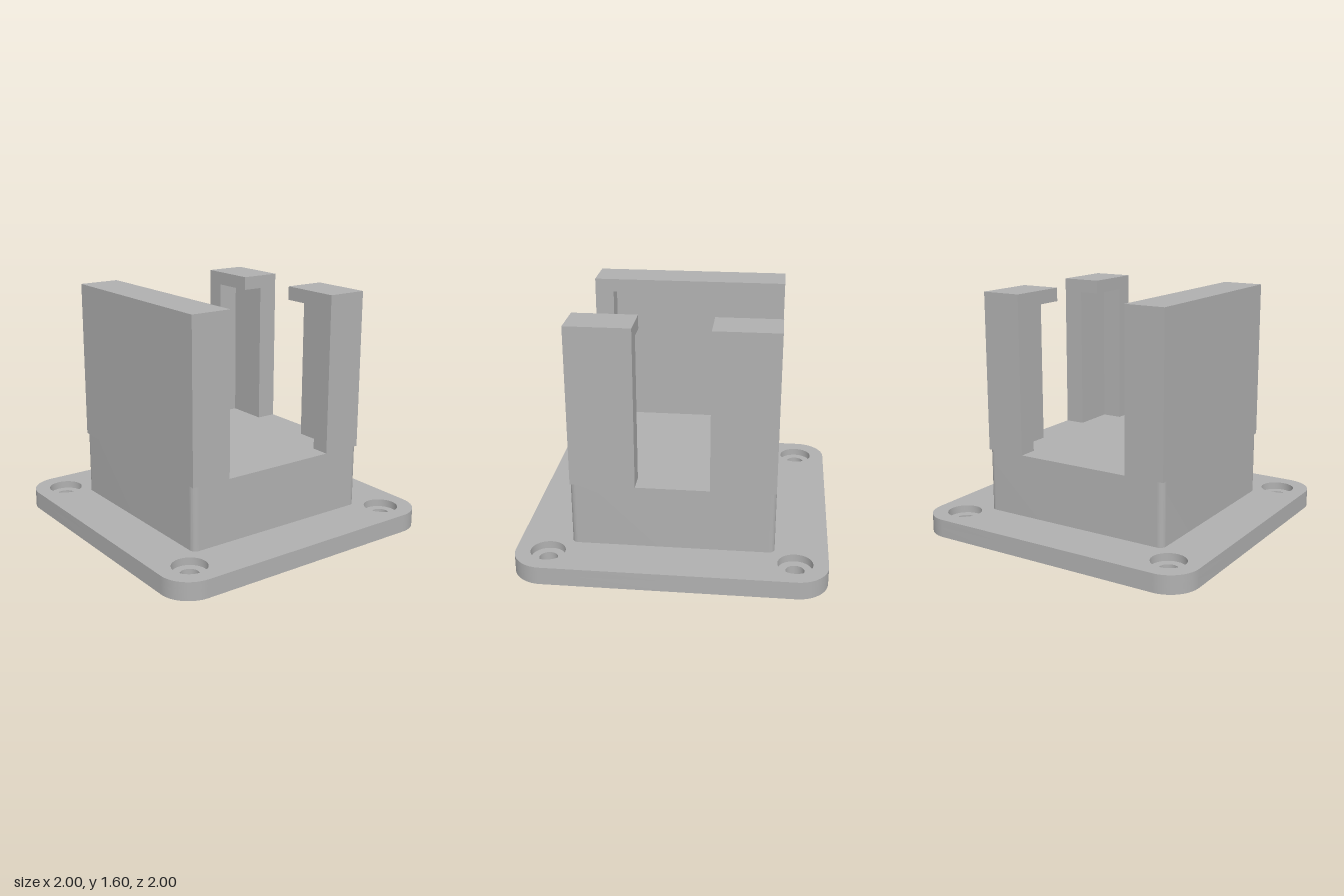
import * as THREE from 'three';
import { toCreasedNormals } from 'three/addons/utils/BufferGeometryUtils.js';

const W = 0.67, D = 0.657;        // holder half width and half depth
const SLOT = 0.397;               // half width of the open channel
const PX = 0.535, PZ = 0.53;      // pocket half width and half depth
const GAP = 0.238;                // half width of the side opening
const Y = { ledge: 0.07, plate: 0.12, floor: 0.54, lip: 1.505, top: 1.595 };

// Rectangle with rounded corners, centred on the origin
function roundedRect(w, d, r) {
  const s = new THREE.Shape();
  s.absarc(w - r, d - r, r, 0, Math.PI / 2);
  s.absarc(-w + r, d - r, r, Math.PI / 2, Math.PI);
  s.absarc(-w + r, -d + r, r, Math.PI, Math.PI * 1.5);
  s.absarc(w - r, -d + r, r, Math.PI * 1.5, Math.PI * 2);
  s.closePath();
  return s;
}

const polygon = (pts) => new THREE.Shape(pts.map(([x, z]) => new THREE.Vector2(x, z)));

export function createModel() {
  const model = new THREE.Group();
  model.name = 'holderBracket';
  const grey = new THREE.MeshStandardMaterial({ color: 0xb0b0b0 });
  grey.name = 'grey';

  // Extrude a floor plan upward from y0 to y1
  function addPrism(name, shape, y0, y1, parent = model) {
    const geo = new THREE.ExtrudeGeometry(shape, { depth: y1 - y0, bevelEnabled: false, curveSegments: 16 });
    geo.rotateX(-Math.PI / 2);
    geo.translate(0, y0, 0);
    const mesh = new THREE.Mesh(toCreasedNormals(geo, 0.5), grey);
    mesh.name = name;
    parent.add(mesh);
  }

  // Base plate in two layers: narrow screw holes below, counterbores above
  const plate = new THREE.Group();
  plate.name = 'basePlate';
  model.add(plate);
  function plateLayer(name, holeRadius, y0, y1) {
    const s = roundedRect(1, 1, 0.2);
    for (const x of [-0.79, 0.79]) for (const z of [-0.79, 0.79]) {
      const hole = new THREE.Path();
      hole.absarc(x, z, holeRadius, 0, Math.PI * 2, true);
      s.holes.push(hole);
    }
    addPrism(name, s, y0, y1, plate);
  }
  plateLayer('screwHoleLayer', 0.06, 0, Y.ledge);
  plateLayer('counterboreLayer', 0.113, Y.ledge, Y.plate);

  // Solid pedestal with softened vertical edges
  addPrism('pedestal', roundedRect(W, D, 0.04), Y.plate, Y.floor);

  // Full wall with a pocket in its inner face, closed by a top lip
  addPrism('rightWall', polygon([
    [-W, -D], [-SLOT, -D], [-SLOT, -PZ], [-PX, -PZ],
    [-PX, PZ], [-SLOT, PZ], [-SLOT, D], [-W, D],
  ]), Y.floor, Y.lip);
  addPrism('rightWallLip', polygon([[-W, -D], [-SLOT, -D], [-SLOT, D], [-W, D]]), Y.lip, Y.top);

  // Two L-shaped posts with overhanging lips on the opposite side
  for (const [side, m] of [['back', 1], ['front', -1]]) {
    addPrism(side + 'Post', polygon([
      [SLOT, D * m], [W, D * m], [W, GAP * m],
      [PX, GAP * m], [PX, PZ * m], [SLOT, PZ * m],
    ]), Y.floor, Y.lip);
    addPrism(side + 'PostLip', polygon([
      [SLOT, D * m], [W, D * m], [W, GAP * m], [SLOT, GAP * m],
    ]), Y.lip, Y.top);
  }
  return model;
}
